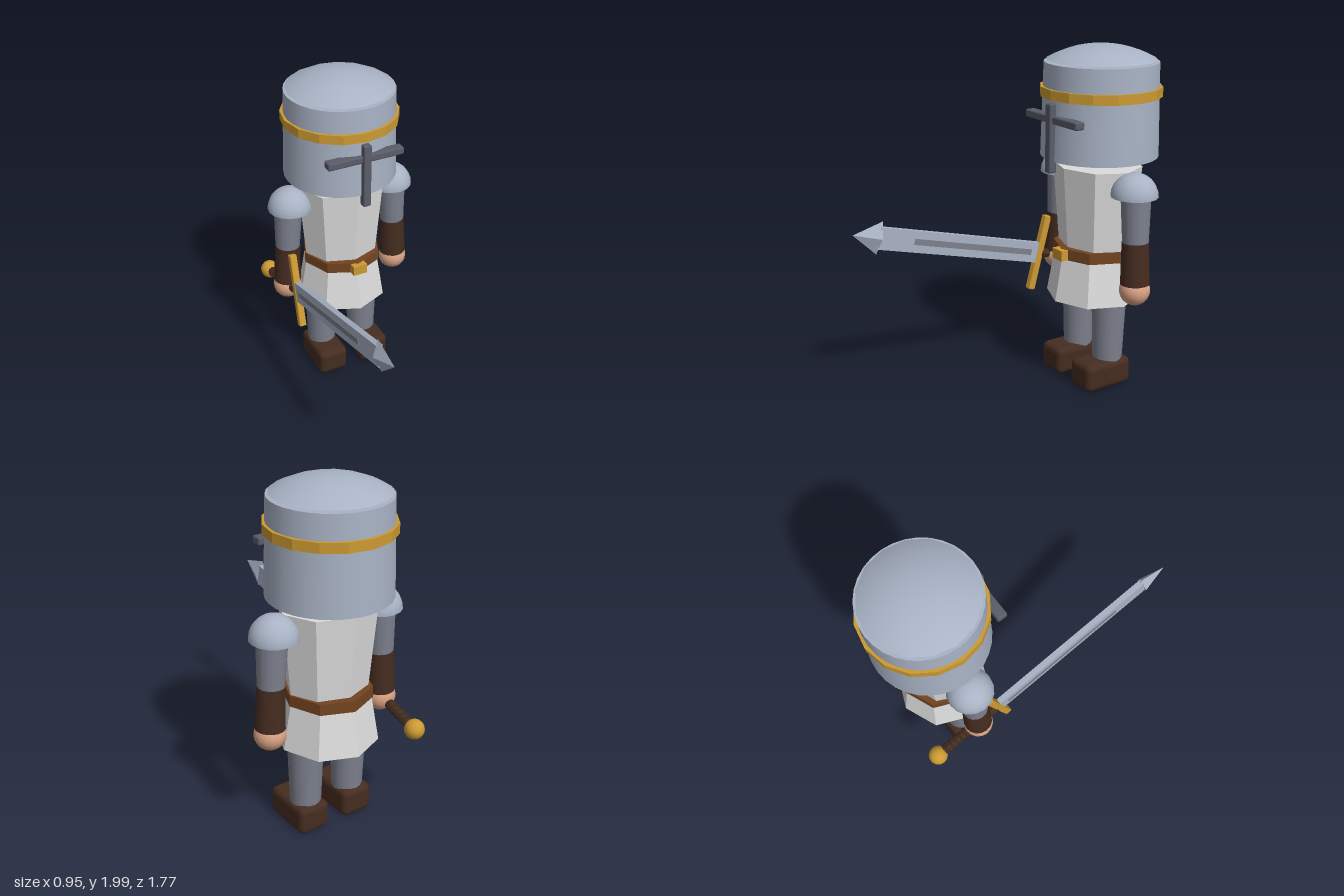
import * as THREE from 'three';
import { RoundedBoxGeometry } from 'three/addons/geometries/RoundedBoxGeometry.js';

const material = (name, color, side = THREE.FrontSide) => {
  const m = new THREE.MeshStandardMaterial({ color, side });
  m.name = name;
  return m;
};

// Gives a geometry one normal per face
function flat(geometry) {
  const g = geometry.index ? geometry.toNonIndexed() : geometry;
  g.computeVertexNormals();
  return g;
}

const cylinder = (top, bottom, height, sides = 16) => new THREE.CylinderGeometry(top, bottom, height, sides);
const box = (w, h, d) => new THREE.BoxGeometry(w, h, d);

export function createModel() {
  const steel = material('steel', 0xa9b3c5, THREE.DoubleSide);
  const mail = material('mail grey', 0x7d818e);
  const iron = material('dark iron', 0x5a5d69);
  const cloth = material('tunic cloth', 0xdcdcdc);
  const gold = material('gold', 0xcc9a33);
  const belt = material('belt leather', 0x744420);
  const leather = material('dark leather', 0x452c20);
  const skin = material('skin', 0xdba385);

  const add = (parent, name, geometry, mat, x = 0, y = 0, z = 0) => {
    const mesh = new THREE.Mesh(geometry, mat);
    mesh.name = name;
    mesh.position.set(x, y, z);
    parent.add(mesh);
    return mesh;
  };

  const model = new THREE.Group();
  model.name = 'knight';
  // The whole figure is turned a little to its left
  const body = new THREE.Group();
  body.name = 'body';
  body.position.set(0.027, 0, -0.535);
  body.rotation.y = THREE.MathUtils.degToRad(20);
  model.add(body);

  // Tunic, skirt and belt
  const chest = add(body, 'tunic', flat(cylinder(0.28, 0.232, 0.52, 8)), cloth, 0, 1.06, 0);
  chest.scale.z = 0.85;
  add(body, 'skirt', flat(cylinder(0.235, 0.282, 0.28, 8)), cloth, 0, 0.67, 0);
  add(body, 'belt', flat(cylinder(0.245, 0.245, 0.065, 8)), belt, 0, 0.817, 0);
  add(body, 'buckle', box(0.09, 0.06, 0.045), gold, 0, 0.817, 0.252);

  // Neck and chin under the helmet
  add(body, 'neck', cylinder(0.11, 0.11, 0.1), mail, 0, 1.34, 0);
  const chin = add(body, 'chin', new THREE.SphereGeometry(0.21, 16, 10), skin, 0, 1.4, 0);
  chin.scale.y = 0.27;

  // Helmet with a separate shallow dome, gold band and cross
  const helmet = new THREE.Group();
  helmet.name = 'helmet';
  helmet.position.z = -0.011;
  body.add(helmet);
  add(helmet, 'helmetBarrel', cylinder(0.323, 0.337, 0.53, 32), steel, 0, 1.64, 0);
  const domeRadius = 0.626, domeAngle = Math.PI / 6;
  add(helmet, 'helmetDome',
    new THREE.SphereGeometry(domeRadius, 16, 6, 0, Math.PI * 2, 0, domeAngle),
    steel, 0, 2 - domeRadius, 0);
  add(helmet, 'helmetBand', flat(cylinder(0.346, 0.346, 0.055)), gold, 0, 1.743, 0);
  add(helmet, 'crossBar', new RoundedBoxGeometry(0.475, 0.045, 0.062, 1, 0.01), iron, 0, 1.61, 0.32);
  add(helmet, 'crossPost', new RoundedBoxGeometry(0.05, 0.39, 0.05, 1, 0.01), iron, 0, 1.505, 0.34);

  // Arms and legs, mirrored
  for (const s of [1, -1]) {
    const side = s > 0 ? 'left' : 'right';
    add(body, side + 'Pauldron',
      new THREE.SphereGeometry(0.133, 16, 6, 0, Math.PI * 2, 0, Math.PI / 2),
      steel, s * 0.335, 1.203, 0);
    const upper = add(body, side + 'UpperArm', cylinder(0.086, 0.073, 0.32), mail, s * 0.353, 1.08, 0);
    const gauntlet = add(body, side + 'Gauntlet', cylinder(0.076, 0.083, 0.245), leather, s * 0.363, 0.823, 0);
    upper.rotation.z = gauntlet.rotation.z = s * 0.04;
    add(body, side + 'Hand', new THREE.SphereGeometry(0.088, 16, 12), skin, s * 0.368, 0.663, 0);

    add(body, side + 'Leg', cylinder(0.102, 0.087, 0.42), mail, s * 0.143, 0.36, 0);
    add(body, side + 'Boot', flat(new RoundedBoxGeometry(0.19, 0.165, 0.315, 2, 0.035)),
      leather, s * 0.146, 0.0925, 0.05);
  }

  // Sword held in the right hand, blade pointing forward and up
  const sword = new THREE.Group();
  sword.name = 'sword';
  sword.position.set(-0.368, 0.66, 0);
  sword.rotation.x = -THREE.MathUtils.degToRad(15);
  body.add(sword);
  add(sword, 'pommel', new THREE.SphereGeometry(0.057, 14, 10), gold, 0, 0, -0.31);
  const grip = add(sword, 'grip', flat(cylinder(0.028, 0.028, 0.43, 8)), leather, 0, 0, -0.075);
  grip.rotation.x = Math.PI / 2;
  // Raised grip wraps
  for (let i = 0; i < 5; i++) {
    add(sword, 'gripWrap', new THREE.TorusGeometry(0.028, 0.006, 5, 10), leather, 0, 0, -0.24 + i * 0.035);
  }
  add(sword, 'guard', new RoundedBoxGeometry(0.045, 0.47, 0.045, 1, 0.008), gold, 0, 0, 0.153);
  add(sword, 'blade', box(0.035, 0.126, 1.1), steel, 0, 0, 0.715);
  add(sword, 'fuller', box(0.041, 0.035, 0.82), mail, 0, 0, 0.63);
  // Four-sided point, wider than the blade
  const point = flat(new THREE.ConeGeometry(0.095, 0.165, 4).rotateX(Math.PI / 2).scale(0.42, 1, 1));
  add(sword, 'bladePoint', point, steel, 0, 0, 1.338);

  return model;
}
